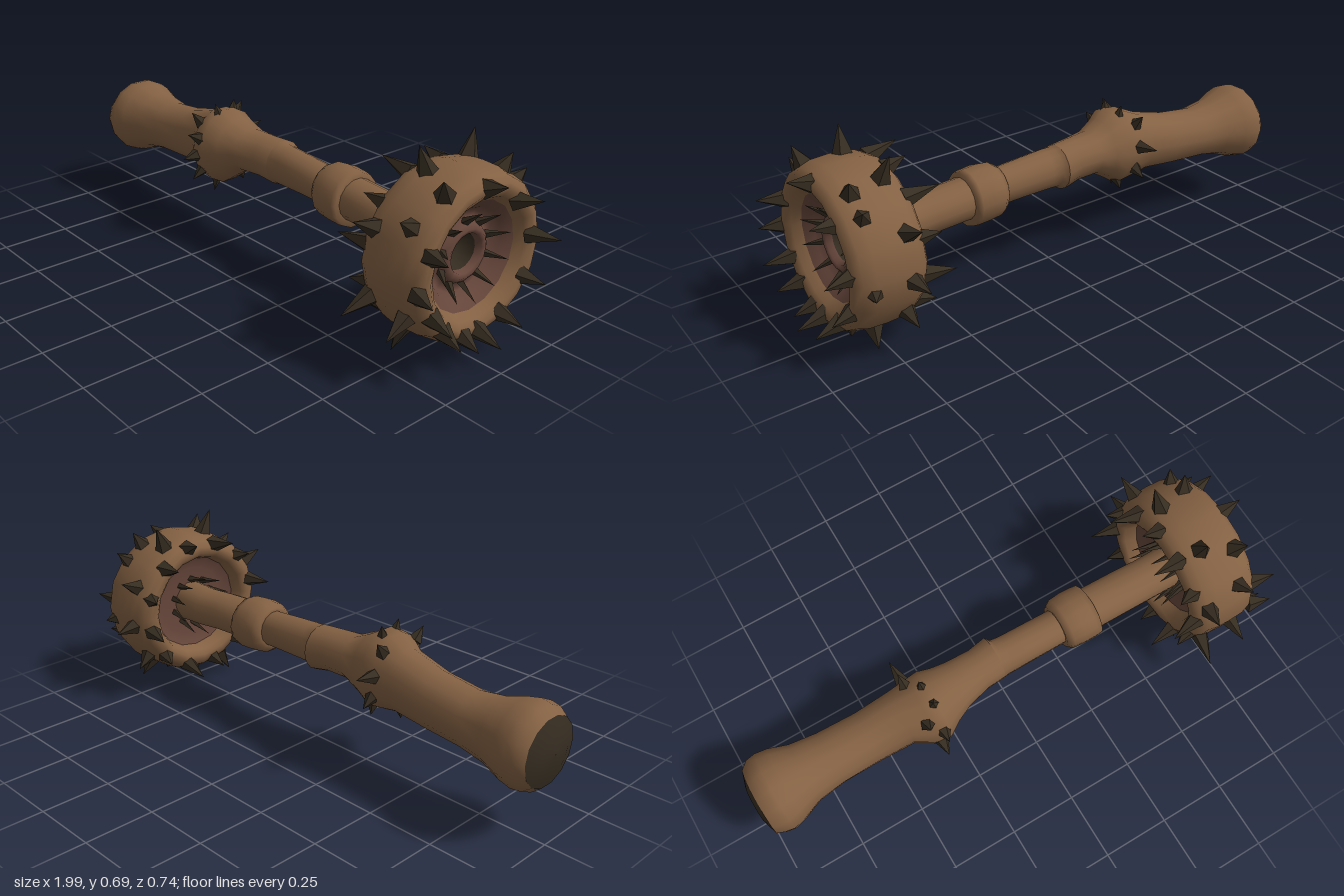
import * as THREE from 'three';
import { mergeVertices } from 'three/addons/utils/BufferGeometryUtils.js';

const CY = 0.34; // height of the head's axis
const wood = new THREE.MeshStandardMaterial({ color: 0x846143 });
wood.name = 'brown wood';
const flesh = new THREE.MeshStandardMaterial({ color: 0x66463b });
flesh.name = 'reddish hollow';
const dark = new THREE.MeshStandardMaterial({ color: 0x362d21 });
dark.name = 'dark thorn';

function add(parent, name, geometry, material) {
  const mesh = new THREE.Mesh(geometry, material);
  mesh.name = name;
  parent.add(mesh);
  return mesh;
}

// Faceted thorn running from a base point to its tip
function thorn(parent, name, base, tip, radius, sides = 5) {
  const dir = tip.clone().sub(base);
  const len = dir.length();
  const geo = new THREE.ConeGeometry(radius, len, sides).translate(0, len / 2, 0).toNonIndexed();
  geo.computeVertexNormals();
  const mesh = add(parent, name, geo, dark);
  mesh.position.copy(base);
  mesh.quaternion.setFromUnitVectors(new THREE.Vector3(0, 1, 0), dir.normalize());
}

// Point at an angle (from +z towards +y) around the long axis
function polar(x, r, a, cy = CY, cz = 0) {
  return new THREE.Vector3(x, cy + r * Math.sin(a), cz + r * Math.cos(a));
}

// Slightly oval lathe about the long axis; points are [x, radius]
function turned(points, sides = 16) {
  return new THREE.LatheGeometry(points.map(([x, r]) => new THREE.Vector2(r, x)), sides)
    .rotateZ(-Math.PI / 2).scale(1, 0.985, 1.035).translate(0, CY, 0);
}

// Oval sections [x, centre y, centre z, radius y, radius z] joined along x
function loft(sections, sides = 14) {
  const rows = [...sections].reverse();
  const geo = new THREE.CylinderGeometry(1, 1, 1, sides, rows.length - 1, true).rotateZ(-Math.PI / 2);
  const p = geo.attributes.position;
  for (let i = 0; i < p.count; i++) {
    const [x, cy, cz, ry, rz] = rows[Math.floor(i / (sides + 1))];
    p.setXYZ(i, x, cy + p.getY(i) * ry, cz + p.getZ(i) * rz);
  }
  geo.deleteAttribute('uv');
  geo.deleteAttribute('normal');
  const merged = mergeVertices(geo, 1e-5);
  merged.computeVertexNormals();
  return merged;
}

function buildHandle() {
  const g = new THREE.Group();
  g.name = 'handle';
  add(g, 'grip', loft([
    [-0.978, 0.312, 0.01, 0.118, 0.126],
    [-0.95, 0.315, 0.005, 0.142, 0.143],
    [-0.915, 0.317, 0.005, 0.148, 0.149],
    [-0.87, 0.319, 0.002, 0.137, 0.14],
    [-0.8, 0.322, 0, 0.112, 0.113],
    [-0.7, 0.325, 0, 0.096, 0.1],
    [-0.55, 0.337, 0.005, 0.102, 0.095],
    [-0.42, 0.36, 0.01, 0.113, 0.1],
    [-0.35, 0.365, 0.03, 0.138, 0.125],
    [-0.3, 0.366, 0.03, 0.145, 0.13],
    [-0.25, 0.37, 0.02, 0.112, 0.107],
    [-0.19, 0.376, 0.01, 0.079, 0.09],
    [-0.1, 0.375, 0, 0.079, 0.076],
    [-0.03, 0.369, -0.01, 0.083, 0.08],
  ]), wood);

  // Thinner shaft emerging from the torn end of the grip
  add(g, 'shaft', loft([
    [-0.03, 0.369, -0.01, 0.083, 0.08],
    [-0.015, 0.37, -0.002, 0.075, 0.069],
    [0.02, 0.37, 0, 0.074, 0.067],
    [0.12, 0.367, 0, 0.07, 0.066],
    [0.24, 0.362, 0, 0.066, 0.065],
  ]), wood);
  add(g, 'neck', loft([
    [0.34, 0.36, 0, 0.074, 0.08],
    [0.5, 0.352, 0, 0.073, 0.079],
    [0.6, 0.342, 0, 0.075, 0.077],
    [0.72, 0.34, 0, 0.08, 0.078],
  ]), wood);

  // Swollen collar
  add(g, 'collar', loft([
    [0.225, 0.362, 0, 0.06, 0.06],
    [0.222, 0.362, 0, 0.08, 0.08],
    [0.245, 0.36, 0, 0.096, 0.098],
    [0.29, 0.36, 0, 0.101, 0.102],
    [0.34, 0.356, 0, 0.1, 0.101],
    [0.36, 0.355, 0, 0.096, 0.098],
    [0.358, 0.357, 0, 0.06, 0.06],
  ]), wood);

  // Dark butt cap, slightly domed
  add(g, 'buttCap', loft([
    [-1, 0.312, 0.01, 0.001, 0.001],
    [-0.996, 0.312, 0.01, 0.065, 0.07],
    [-0.978, 0.312, 0.01, 0.118, 0.126],
  ]), dark);

  // Thorns around the swelling: [angle in degrees, x, tip radius]
  [[50, -0.36, 0.18], [24, -0.32, 0.18], [-8, -0.335, 0.18], [-38, -0.33, 0.18], [-80, -0.345, 0.193],
    [-115, -0.3, 0.17], [-150, -0.34, 0.18], [170, -0.355, 0.21], [130, -0.36, 0.18],
    [105, -0.315, 0.175], [75, -0.31, 0.175]].forEach(([deg, x, r]) => {
    const a = THREE.MathUtils.degToRad(deg);
    thorn(g, 'handleThorn', polar(x, 0.12, a, 0.365, 0.03), polar(x - 0.005, r, a, 0.365, 0.03), 0.027);
  });
  return g;
}

function buildHead() {
  const g = new THREE.Group();
  g.name = 'head';
  add(g, 'shell', turned([
    [0.7, 0.185], [0.66, 0.2], [0.645, 0.218], [0.647, 0.24], [0.662, 0.262], [0.69, 0.277], [0.73, 0.284],
    [0.78, 0.286], [0.84, 0.283], [0.88, 0.27], [0.902, 0.248], [0.903, 0.225], [0.888, 0.203], [0.86, 0.184],
  ]), wood);

  // Hollows, front lip and the dark mouth
  add(g, 'frontHollow', turned([
    [0.86, 0.184], [0.835, 0.153], [0.812, 0.135], [0.81, 0.112],
    [0.83, 0.096], [0.84, 0.082], [0.835, 0.068], [0.815, 0.06],
  ]), flesh);
  add(g, 'mouth', turned([[0.815, 0.06], [0.76, 0.056], [0.75, 0]]), dark);
  add(g, 'backHollow', turned([[0.72, 0.05], [0.72, 0.14], [0.7, 0.185]]), flesh);

  // Teeth fringing both hollows
  for (let i = 0; i < 10; i++) {
    const a = Math.PI / 2 + (i * Math.PI) / 5;
    thorn(g, 'frontTooth', polar(0.815, 0.098, a), polar(0.885, 0.15, a), 0.015, 4);
    thorn(g, 'backTooth', polar(0.72, 0.09, a), polar(0.615, 0.115, a), 0.014, 4);
  }

  // Thorns on the rolling face, as tips: [z, y, x]
  [[0.12, 0.69, 0.74], [0.17, 0.635, 0.85], [-0.16, 0.675, 0.72], [-0.17, 0.63, 0.83],
    [-0.245, 0.56, 0.83], [-0.335, 0.495, 0.72], [-0.37, 0.3, 0.72], [-0.315, 0.3, 0.84],
    [-0.28, 0.13, 0.72], [-0.195, 0.045, 0.8], [-0.055, 0.025, 0.82], [0.16, 0, 0.71],
    [0, 0.04, 0.72], [0.35, 0.175, 0.83], [0.37, 0.195, 0.7], [0.33, 0.49, 0.7],
    [0.3, 0.535, 0.82]].forEach(([z, y, x]) => {
    const a = Math.atan2(y - CY, z);
    thorn(g, 'faceThorn', polar(x, 0.264, a), new THREE.Vector3(x + (x - 0.77) * 0.3, y, z), 0.039);
  });

  // Thorns on the front rim, as positions: [z, y]
  [[0, 0.58], [-0.15, 0.5], [-0.235, 0.36], [-0.21, 0.22], [-0.105, 0.125], [0, 0.1],
    [0.07, 0.105], [0.16, 0.15], [0.215, 0.22], [0.275, 0.315], [0.235, 0.43]].forEach(([z, y], i) => {
    const a = Math.atan2(y - CY, z);
    const r = Math.hypot(y - CY, z);
    thorn(g, 'frontRimThorn', polar(0.885, r - 0.008, a), polar(0.97 + (i % 3) * 0.012, r + 0.02, a), 0.035);
  });

  // Thorns on the back rim
  for (let i = 0; i < 12; i++) {
    const a = 0.2 + (i * Math.PI) / 6;
    thorn(g, 'backRimThorn', polar(0.67, 0.243, a), polar(i % 2 ? 0.595 : 0.55, 0.272, a), 0.035);
  }
  return g;
}

export function createModel() {
  const model = new THREE.Group();
  model.name = 'thornedMallet';
  model.add(buildHandle(), buildHead());
  return model;
}
